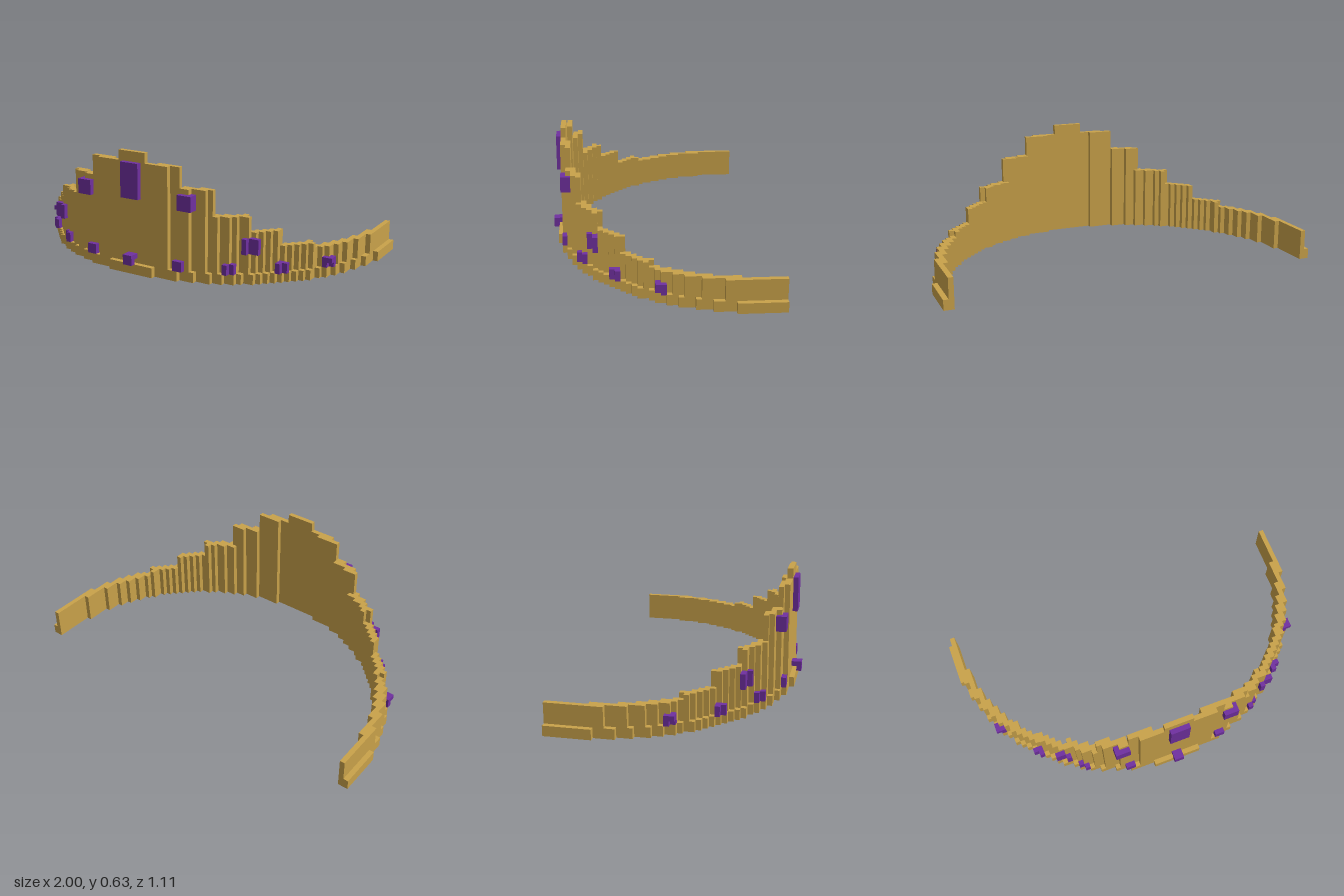
import * as THREE from 'three';
import { mergeGeometries } from 'three/addons/utils/BufferGeometryUtils.js';

const U = 1 / 38;          // block size
const CZ = -18;            // centre of the band's arc, in blocks
const WALL_IN = 35.85, WALL_OUT = 37.45, RIM_OUT = 37.9, GEM_OUT = 38.6;

// stepped outline: [largest angle from the front, height in blocks]
const STEPS = [[5, 24], [15.5, 22], [25.2, 18], [35.5, 13], [45.5, 10], [55.5, 7], [181, 6]];

const radius = (x, z) => Math.hypot(x + 0.5, z + 0.5 - CZ);
const heightAt = (x, z) => {
  const angle = Math.atan2(x + 0.5, z + 0.5 - CZ) * 180 / Math.PI;
  return STEPS.find(s => angle < s[0])[1];
};

// box from block coordinates
function block(x0, x1, y0, y1, z0, z1) {
  const g = new THREE.BoxGeometry((x1 - x0) * U, (y1 - y0) * U, (z1 - z0) * U);
  return g.translate((x0 + x1) / 2 * U, (y0 + y1) / 2 * U, (z0 + z1) / 2 * U);
}
const mirrored = (x0, x1, ...rest) => [block(x0, x1, ...rest), block(-x1, -x0, ...rest)];

// columns standing on the ground, joined along x where the height is equal
function columns(heightFn) {
  const out = [];
  for (let z = -21; z < 21; z++) {
    let start = 0, h = 0;
    for (let x = 0; x <= 38; x++) {
      const next = x < 38 ? heightFn(x, z) : 0;
      if (next === h) continue;
      if (h) out.push(...mirrored(start, x, 0, h, z, z + 1));
      start = x;
      h = next;
    }
  }
  return out;
}

// gem blocks that hug the outside of the band within a box-shaped range
function gem(x0, x1, y0, y1, z0, z1) {
  const out = [];
  for (let x = x0; x < x1; x++) for (let z = z0; z < z1; z++) {
    const r = radius(x, z);
    if (r > WALL_OUT && r < GEM_OUT) out.push(...mirrored(x, x + 1, y0, y1, z, z + 1));
  }
  return out;
}

export function createModel() {
  const group = new THREE.Group();
  const gold = new THREE.MeshStandardMaterial({ color: 0xc9a24a });
  gold.name = 'gold';
  const purple = new THREE.MeshStandardMaterial({ color: 0x7030a0 });
  purple.name = 'purple';

  const add = (name, geometries, material) => {
    const mesh = new THREE.Mesh(mergeGeometries(geometries), material);
    mesh.name = name;
    group.add(mesh);
  };

  // tall stepped band
  add('band', columns((x, z) => {
    const r = radius(x, z);
    return r > WALL_IN && r < WALL_OUT ? heightAt(x, z) : 0;
  }), gold);

  // low rim around the outside of the band
  add('rim', columns((x, z) => {
    const r = radius(x, z);
    const limit = z > x ? RIM_OUT - 0.02 : RIM_OUT + 0.02;
    return r >= WALL_OUT && r < limit ? 2 : 0;
  }), gold);

  // large centre gem
  add('centreGem', [block(-2, 2, 15, 22, 19, 20)], purple);

  // medium gems on the steps
  add('upperGems', gem(10, 13, 14, 17, 17, 19), purple);
  add('middleGems', gem(21, 24, 6, 9, 12, 14), purple);

  // row of small gems just above the rim
  add('rimGems', [
    block(-1, 1, 2, 4, 20, 21),
    block(-1, 1, 3, 4, 19, 20),
    ...gem(9, 11, 2, 4, 18, 19),
    ...gem(18, 20, 2, 4, 14, 16),
    ...gem(26, 28, 2, 4, 8, 10),
    ...gem(32, 34, 2, 4, 0, 2),
    ...mirrored(33, 34, 3, 4, 1, 2),
  ], purple);

  return group;
}
